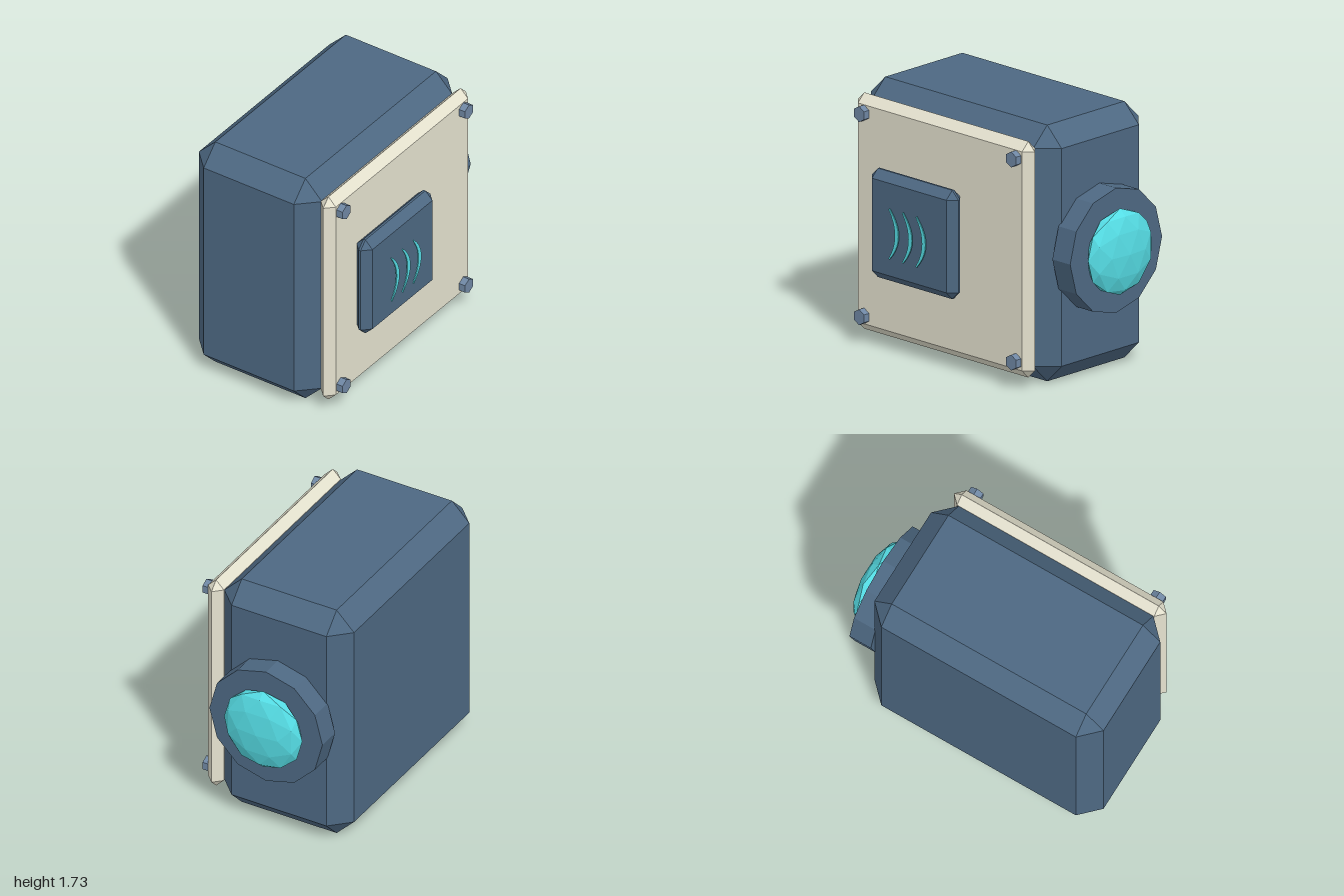
import * as THREE from 'three';
import { ConvexGeometry } from 'three/addons/geometries/ConvexGeometry.js';

const paint = (color) => new THREE.MeshStandardMaterial({ color, flatShading: true });

// Box between two corners with every edge cut by c
function chamferBox([x0, y0, z0], [x1, y1, z1], c) {
  const h = [(x1 - x0) / 2, (y1 - y0) / 2, (z1 - z0) / 2];
  const points = [];
  for (const sx of [-1, 1]) for (const sy of [-1, 1]) for (const sz of [-1, 1]) {
    for (let axis = 0; axis < 3; axis++) {
      const d = h.map((v, i) => (i === axis ? v : v - c));
      points.push(new THREE.Vector3(sx * d[0], sy * d[1], sz * d[2]));
    }
  }
  return new ConvexGeometry(points).translate((x0 + x1) / 2, (y0 + y1) / 2, (z0 + z1) / 2);
}

export function createModel() {
  const model = new THREE.Group();
  model.name = 'wallDevice';
  const blue = paint(0x4d6882);
  const cream = paint(0xe5e2cf);
  const steel = paint(0x6f87a3);
  const cyan = paint(0x55dde5);

  const add = (name, geometry, material, x = 0, y = 0, z = 0) => {
    const mesh = new THREE.Mesh(geometry, material);
    mesh.name = name;
    mesh.position.set(x, y, z);
    model.add(mesh);
    return mesh;
  };

  // Housing, front plate and raised pad
  add('housing', chamferBox([-1, 0, -0.615], [0.72, 1.73, 0.353], 0.13), blue);
  add('frontPlate', chamferBox([-0.935, 0.07, 0.35], [0.66, 1.665, 0.467], 0.058), cream);
  add('pad', chamferBox([-0.69, 0.5, 0.46], [0.09, 1.235, 0.585], 0.055), blue);

  // Hexagonal bolts in the plate corners
  const bolt = new THREE.CylinderGeometry(0.053, 0.053, 0.06, 6).rotateX(Math.PI / 2);
  for (const x of [-0.822, 0.548]) {
    for (const y of [0.182, 1.553]) add('bolt', bolt, steel, x, y, 0.483);
  }

  // Three crescent wave marks floating just in front of the pad
  const crescent = new THREE.Shape();
  crescent.moveTo(0, -0.172);
  crescent.quadraticCurveTo(0.164, 0, 0, 0.172);
  crescent.lineTo(-0.008, 0.167);
  crescent.quadraticCurveTo(0.108, 0, -0.008, -0.167);
  const wave = new THREE.ExtrudeGeometry(crescent, { depth: 0.008, bevelEnabled: false, curveSegments: 10 });
  for (let i = 0; i < 3; i++) add('waveMark', wave, cyan, -0.452 + i * 0.122, 0.849, 0.605);

  // Side lens and its twelve-sided mount
  const mount = new THREE.CylinderGeometry(0.422, 0.422, 0.16, 12).rotateZ(-Math.PI / 2);
  add('lensMount', mount, blue, 0.791, 0.867, -0.123);
  const lens = add('lens', new THREE.IcosahedronGeometry(0.292, 1), cyan, 0.905, 0.867, -0.123);
  lens.scale.x = 0.325;

  return model;
}
